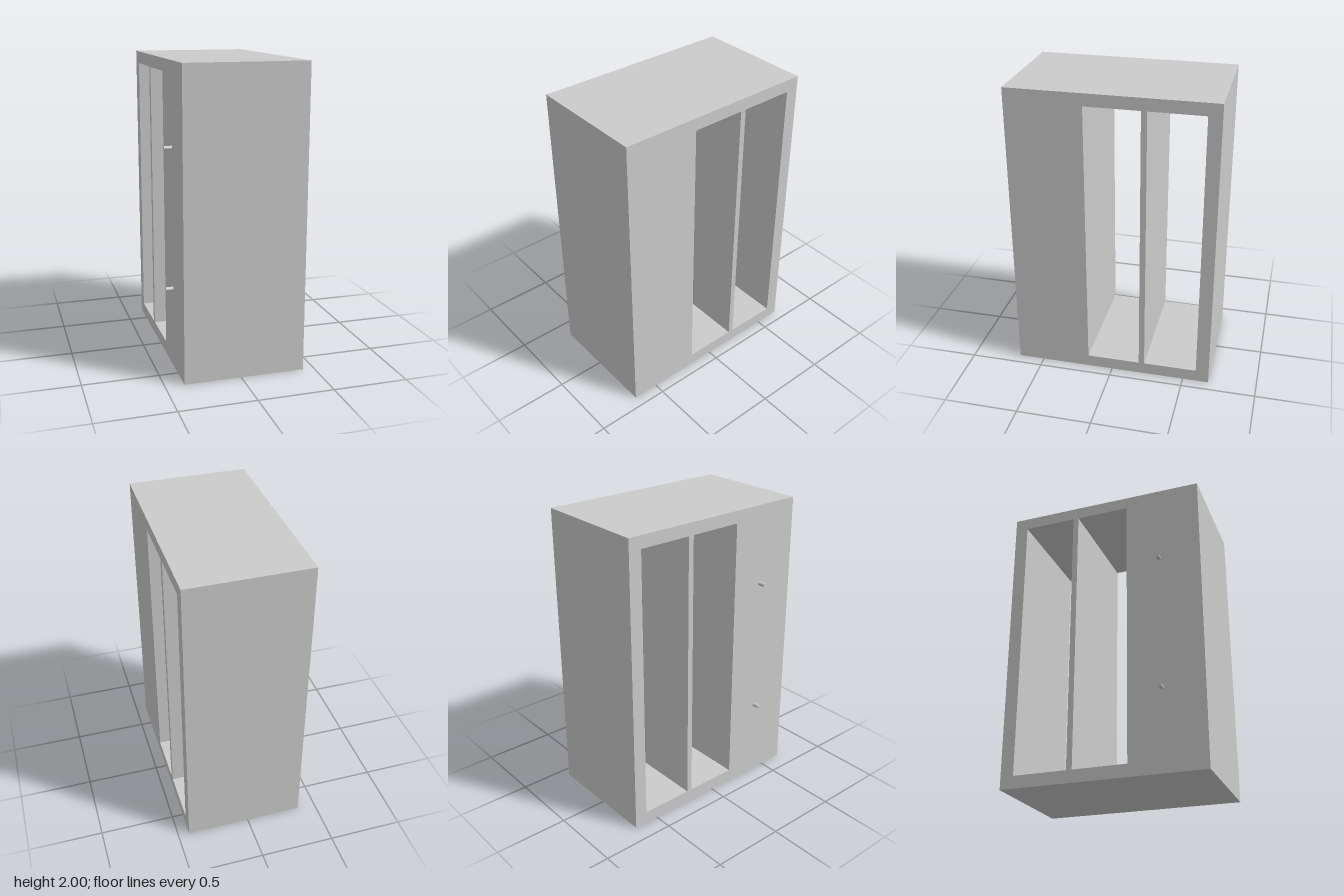
import * as THREE from 'three';

const X0 = -0.375, X1 = 0.425, HALF_Z = 0.676;

// Rectangle corners in (z, y)
const rect = (z0, y0, z1, y1) => [[z0, y0], [z1, y0], [z1, y1], [z0, y1]];
// Extrusion runs along +x once rotated, so shape x stands for -z
const toPoints = (corners) => corners.map(([z, y]) => new THREE.Vector2(-z, y));

export function createModel() {
  const group = new THREE.Group();
  const material = new THREE.MeshStandardMaterial({ color: 0xcccccc });

  // Thick panel with two tall openings running right through it
  const outline = new THREE.Shape(toPoints(rect(HALF_Z, 0, -HALF_Z, 2)));
  for (const [front, back] of [[0.17, -0.19], [-0.228, -0.588]]) {
    outline.holes.push(new THREE.Path(toPoints(rect(front, 0.083, back, 1.918))));
  }
  const bodyGeometry = new THREE.ExtrudeGeometry(outline, { depth: X1 - X0, bevelEnabled: false });
  bodyGeometry.rotateY(Math.PI / 2).translate(X0, 0, 0);
  const body = new THREE.Mesh(bodyGeometry, material);
  body.name = 'body';
  group.add(body);

  // Two small round pegs on the right side
  const pegLength = 0.05;
  const pegGeometry = new THREE.CylinderGeometry(0.0135, 0.0135, pegLength, 24).rotateZ(Math.PI / 2);
  for (const [name, y] of [['upperPeg', 1.463], ['lowerPeg', 0.543]]) {
    const peg = new THREE.Mesh(pegGeometry, material);
    peg.name = name;
    peg.position.set(X0 - pegLength / 2, y, 0.397);
    group.add(peg);
  }
  return group;
}
